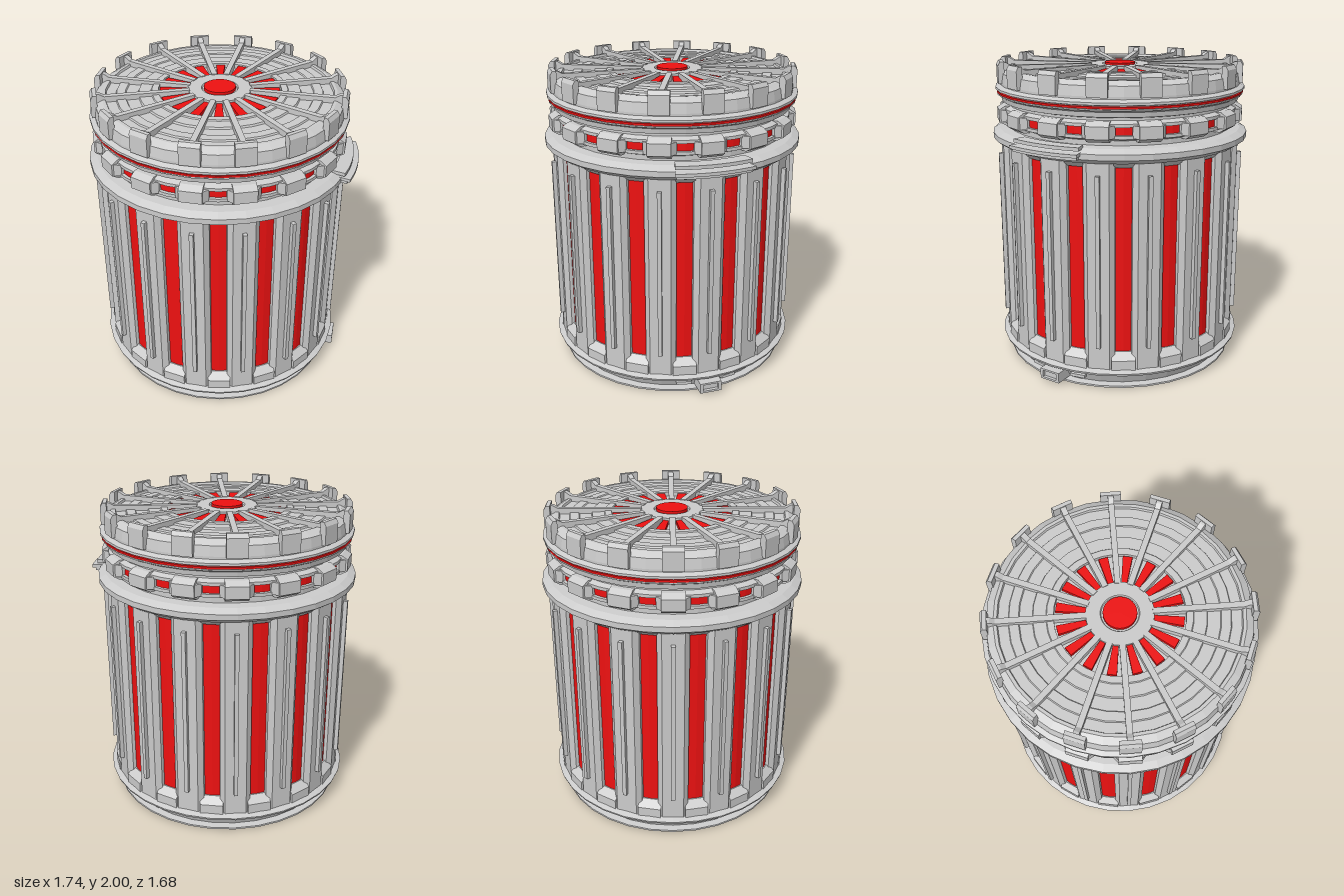
import * as THREE from 'three';

const N = 16, STEP = (Math.PI * 2) / N, PHASE = STEP / 4;
const grey = new THREE.MeshStandardMaterial({ color: 0xcccccc, flatShading: true });
const red = new THREE.MeshStandardMaterial({ color: 0xee1111, flatShading: true });

const shapeOf = (pts) => new THREE.Shape(pts.map(([x, y]) => new THREE.Vector2(x, y)));

// Plan outline (tangent, radius) raised from y0 to y1
function plan(shape, y0, y1) {
  const g = new THREE.ExtrudeGeometry(shape, { depth: y1 - y0, bevelEnabled: false, curveSegments: 6 });
  return g.rotateX(Math.PI / 2).translate(0, y1, 0);
}

// Side outline (radius, height) given a tangential width
function side(pts, width) {
  const g = new THREE.ExtrudeGeometry(shapeOf(pts), { depth: width, bevelEnabled: false });
  return g.rotateY(-Math.PI / 2).translate(width / 2, 0, 0);
}

// Chamfered plan outline, symmetric about the radius
const trapezoid = (w0, r0, w1, r1, w2, r2) =>
  shapeOf([[-w0, r0], [w0, r0], [w1, r1], [w2, r2], [-w2, r2], [-w1, r1]]);

function arcBand(r0, r1, half) {
  const s = new THREE.Shape();
  s.absarc(0, 0, r1, Math.PI / 2 - half, Math.PI / 2 + half, false);
  s.absarc(0, 0, r0, Math.PI / 2 + half, Math.PI / 2 - half, true);
  return s;
}

export function createModel() {
  const model = new THREE.Group();
  model.name = 'canister';
  model.position.x = -0.03;

  const add = (name, geometry, material = grey, angle = 0) => {
    const m = new THREE.Mesh(geometry, material);
    m.name = name;
    m.rotation.y = angle;
    model.add(m);
    return m;
  };
  const lathe = (name, pts, material = grey) =>
    add(name, new THREE.LatheGeometry(pts.map(([r, y]) => new THREE.Vector2(r, y)), 32, PHASE), material);
  const ring = (name, geometry, angle, material = grey) => {
    const g = new THREE.Group();
    g.name = name + 'Ring';
    for (let i = 0; i < N; i++) {
      const m = new THREE.Mesh(geometry, material);
      m.name = name;
      m.rotation.y = angle + i * STEP;
      g.add(m);
    }
    model.add(g);
  };

  // Base with recessed underside
  lathe('base', [
    [0, 0.015], [0.3, 0.015], [0.3, 0.05], [0.5, 0.05], [0.5, 0.015], [0.67, 0.015], [0.68, 0],
    [0.775, 0], [0.775, 0.012], [0.73, 0.018], [0.765, 0.1], [0.825, 0.11], [0.83, 0.125],
    [0.79, 0.14], [0.74, 0.14],
  ]);
  ring('undersideRib', new THREE.BoxGeometry(0.05, 0.035, 0.21).translate(0, 0.037, 0.4), PHASE);
  add('undersideLight', new THREE.CylinderGeometry(0.13, 0.13, 0.01, 24).translate(0, 0.015, 0), red);

  // Glowing core behind the body panels
  lathe('bodyCore', [[0.745, 0.14], [0.745, 1.48]], red);

  // Body panels, raised strips and the end blocks of each light slot
  ring('bodyPanel', plan(trapezoid(0.095, 0.7, 0.097, 0.758, 0.068, 0.79), 0.135, 1.48), PHASE);
  ring('panelStrip', new THREE.BoxGeometry(0.026, 1.11, 0.04).translate(0, 0.845, 0.797), PHASE);
  ring('slotFoot', side([[0.7, 0.135], [0.795, 0.135], [0.795, 0.2], [0.75, 0.245], [0.7, 0.245]], 0.15), -PHASE);
  ring('slotCap', side([[0.7, 1.44], [0.75, 1.44], [0.79, 1.48], [0.7, 1.48]], 0.12), -PHASE);

  // Wide flange and neck
  lathe('flange', [
    [0.7, 1.475], [0.8, 1.475], [0.845, 1.505], [0.845, 1.54], [0.8, 1.565], [0.735, 1.57],
    [0.735, 1.6], [0.775, 1.615], [0.775, 1.635], [0.74, 1.635],
  ]);

  // Window band
  lathe('windowLight', [[0.755, 1.63], [0.755, 1.69]], red);
  ring('windowBlock', side([
    [0.7, 1.595], [0.77, 1.595], [0.81, 1.62], [0.81, 1.695], [0.77, 1.72], [0.7, 1.72],
  ], 0.14), PHASE);
  ring('windowBlockFlank', plan(trapezoid(0.095, 0.7, 0.1, 0.762, 0.07, 0.798), 1.62, 1.695), PHASE);

  // Lid: collar, lip, stepped deck with a ring-shaped groove
  lathe('lid', [
    [0.74, 1.685], [0.775, 1.685], [0.775, 1.705], [0.74, 1.72], [0.74, 1.735], [0.78, 1.745],
    [0.785, 1.775], [0.8, 1.785], [0.8, 1.815], [0.82, 1.82], [0.82, 1.835], [0.79, 1.85],
    [0.79, 1.865], [0.78, 1.925], [0.735, 1.95], [0.715, 1.95], [0.71, 1.935], [0.65, 1.935],
    [0.645, 1.945], [0.59, 1.945], [0.585, 1.938], [0.51, 1.938], [0.505, 1.95], [0.43, 1.95],
    [0.425, 1.957], [0.385, 1.957], [0.385, 1.93], [0.2, 1.93], [0.2, 1.965], [0.115, 1.965],
    [0.11, 1.955], [0, 1.955],
  ]);
  lathe('lidLowerLip', [[0.78, 1.782], [0.81, 1.787], [0.81, 1.795], [0.78, 1.797]]);
  lathe('lidLightRing', [[0.79, 1.796], [0.812, 1.798], [0.812, 1.81], [0.79, 1.813]], red);

  // Radial spokes ending in upright teeth
  ring('lidSpoke', side([
    [0.19, 1.93], [0.78, 1.9], [0.78, 1.995], [0.75, 1.99], [0.72, 1.972], [0.19, 1.97],
  ], 0.036), PHASE);
  ring('lidTooth', side([
    [0.77, 1.86], [0.805, 1.86], [0.805, 1.975], [0.79, 2], [0.765, 2], [0.765, 1.93],
  ], 0.125), PHASE);

  // Lid lights
  ring('lidLightWedge', plan(shapeOf([[-0.017, 0.2], [0.017, 0.2], [0.029, 0.375], [-0.029, 0.375]]), 1.925, 1.952), -PHASE, red);
  add('lidCentreLight', new THREE.CylinderGeometry(0.1, 0.1, 0.03, 24).translate(0, 1.96, 0), red);

  // Latch on the flange
  const latchAngle = PHASE + Math.PI / 2;
  add('latchTopPlate', plan(arcBand(0.78, 0.865, 0.28), 1.558, 1.58), grey, latchAngle);
  add('latchBody', plan(arcBand(0.8, 0.88, 0.27), 1.505, 1.54), grey, latchAngle);
  add('latchLip', plan(arcBand(0.8, 0.9, 0.28), 1.525, 1.545), grey, latchAngle);

  // Small socket on the base, with a slim bar on each side
  const frame = shapeOf([[-0.072, 0.022], [0.072, 0.022], [0.072, 0.092], [-0.072, 0.092]]);
  frame.holes.push(new THREE.Path([[-0.052, 0.036], [-0.052, 0.08], [0.052, 0.08], [0.052, 0.036]]
    .map(([x, y]) => new THREE.Vector2(x, y))));
  add('baseSocketFrame', new THREE.ExtrudeGeometry(frame, { depth: 0.15, bevelEnabled: false })
    .translate(0, 0, 0.7), grey, latchAngle);
  add('baseSocketInsert', new THREE.BoxGeometry(0.11, 0.05, 0.12).translate(0, 0.057, 0.77), grey, latchAngle);
  for (const s of [-1, 1]) {
    add('baseSideBar', new THREE.BoxGeometry(0.1, 0.02, 0.06).translate(0, 0.06, 0.745), grey, latchAngle + s * 0.2);
  }
  return model;
}
